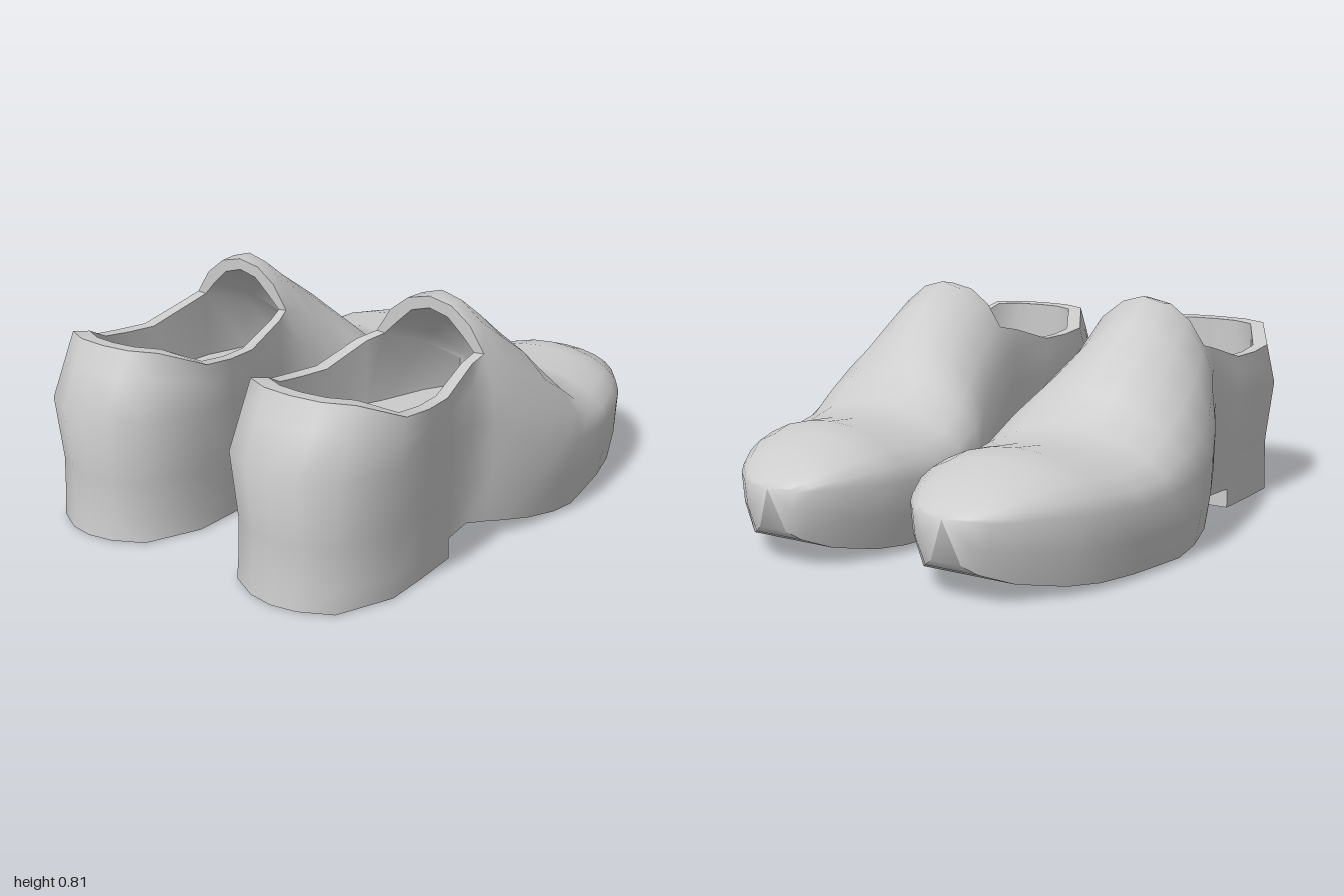
import * as THREE from 'three';
import { toCreasedNormals } from 'three/addons/utils/BufferGeometryUtils.js';

// Forefoot stations from toe to tongue:
// z, inner x, outer x, sole y, widest y, ridge y, sole edge ratio, shoulder slimness
const STATIONS = [
  [-0.98, 0.245, 0.425, 0.13, 0.262, 0.284, 0.6, 1],
  [-0.95, 0.195, 0.475, 0.1, 0.265, 0.305, 0.68, 1],
  [-0.87, 0.13, 0.56, 0.062, 0.265, 0.355, 0.78, 1],
  [-0.74, 0.065, 0.65, 0.035, 0.26, 0.4, 0.88, 1.05],
  [-0.63, 0.04, 0.7, 0.024, 0.25, 0.415, 0.92, 1.1],
  [-0.48, 0.025, 0.74, 0.015, 0.24, 0.395, 0.92, 1.1],
  [-0.33, 0.025, 0.765, 0.008, 0.245, 0.425, 0.92, 1.15],
  [-0.22, 0.028, 0.78, 0.002, 0.26, 0.53, 0.92, 1.25],
  [-0.1, 0.065, 0.78, 0.015, 0.265, 0.64, 0.92, 1.25],
  [0.03, 0.115, 0.755, 0.033, 0.3, 0.735, 0.92, 1.25],
  [0.14, 0.14, 0.715, 0.052, 0.37, 0.81, 0.92, 1.1],
  [0.2, 0.155, 0.685, 0.062, 0.42, 0.8, 0.92, 0.95],
];
// Heel columns from tongue to back: half width, z, rim half width, rim y, rim z
const COLUMNS = [
  [0.25, 0.28, 0.232, 0.627, 0.27],
  [0.272, 0.43, 0.262, 0.57, 0.45],
  [0.287, 0.58, 0.278, 0.572, 0.57],
  [0.295, 0.74, 0.28, 0.582, 0.69],
  [0.215, 0.93, 0.205, 0.643, 0.835],
  [0.1, 0.985, 0.11, 0.645, 0.88],
  [0, 1, 0, 0.645, 0.89],
];
const HEEL_X = 0.405, FLOOR_Y = 0.4, RIM = 4;
const V = (x, y, z) => new THREE.Vector3(x, y, z);

// One half of a station: sole edge, low side, then a quarter oval to the ridge
function halfSection([z, xin, xout, y0, yw, yTop, edge, slim], side) {
  const c = (xin + xout) / 2, w = side * (xout - xin) / 2;
  const pts = [V(c + w * edge, y0, z), V(c + w * (0.8 + edge * 0.2), y0 + (yw - y0) * 0.5, z)];
  for (let k = 0; k <= 5; k++) {
    const a = k * Math.PI / 10;
    const across = k === 5 ? 0 : Math.cos(a) ** slim;
    pts.push(V(c + w * across, yw + (yTop - yw) * Math.sin(a), z));
  }
  return pts;
}

function fullSection(s) {
  return [...halfSection(s, -1), ...halfSection(s, 1).reverse().slice(1)];
}

// Heel wall column from the top of the heel block to the rim
function heelColumn([w, z, rw, ry, rz], side) {
  const rim = V(HEEL_X + side * rw, ry, rz), wide = V(HEEL_X + side * w, 0.43, z);
  const low = z < 0.5 ? Math.min(z, 0.41) : z;
  return [
    V(HEEL_X + side * w * 0.92, 0.075, low - 0.008 * (z > 0.5)),
    V(HEEL_X + side * w * 0.925, 0.21, low - 0.015 * (z > 0.5)),
    wide, wide.clone().lerp(rim, 0.6), rim,
  ];
}

// Inner edge of the collar and the insole point below it
const insetRim = p => V(HEEL_X + (p.x - HEEL_X) * 0.83, p.y - 0.003, p.z > 0.5 ? 0.5 + (p.z - 0.5) * 0.87 : p.z);
const floorPoint = p => V(p.x, FLOOR_Y, p.z);

// Skin rows of points with quads, dropping collapsed triangles
function skin(out, rows) {
  const tri = (a, b, c) => {
    if (a.distanceTo(b) > 1e-6 && b.distanceTo(c) > 1e-6 && c.distanceTo(a) > 1e-6) out.push(a, b, c);
  };
  for (let i = 0; i < rows.length - 1; i++) {
    for (let j = 0; j < rows[i].length - 1; j++) {
      const p = rows[i][j], q = rows[i + 1][j], r = rows[i + 1][j + 1], t = rows[i][j + 1];
      tri(p, q, r);
      tri(p, r, t);
    }
  }
}

function part(name, triangles, mirror, crease) {
  const pos = [];
  for (let i = 0; i < triangles.length; i += 3) {
    const [a, b, c] = triangles.slice(i, i + 3);
    for (const p of mirror < 0 ? [a, c, b] : [a, b, c]) pos.push(p.x * mirror, p.y, p.z);
  }
  const geo = new THREE.BufferGeometry();
  geo.setAttribute('position', new THREE.Float32BufferAttribute(pos, 3));
  const mesh = new THREE.Mesh(
    toCreasedNormals(geo, crease),
    new THREE.MeshStandardMaterial({ color: 0xcccccc, side: THREE.DoubleSide }));
  mesh.name = name;
  return mesh;
}

function createShoe(name, mirror) {
  const shoe = new THREE.Group();
  shoe.name = name;
  const sections = STATIONS.map(fullSection);
  const last = sections[sections.length - 1], n = last.length;
  const inner = [last.slice(0, RIM + 1), ...COLUMNS.map(c => heelColumn(c, -1))];
  const outer = [last.slice(n - RIM - 1).reverse(), ...COLUMNS.map(c => heelColumn(c, 1))];
  const around = [...inner, ...outer.slice(0, -1).reverse()];
  const down = p => V(p.x, 0.004, p.z + 0.008 * (p.z > 0.5));

  // Upper: forefoot closed at the toe, wall around the back, and heel sides
  const upper = [];
  const toe = V(0.335, 0.27, -1);
  skin(upper, [sections[0].map(() => toe), ...sections]);
  skin(upper, around);
  skin(upper, around.slice(2, -2).map(c => [down(c[0]), c[0]]));
  shoe.add(part('upper', upper, mirror, 1.1));

  // Sole from the toe to the front of the heel
  const sole = [];
  skin(sole, [[toe, toe], ...sections.map(s => [s[n - 1], s[0]]),
    ...[1, 2].map(i => [outer[i][0], inner[i][0]])]);
  shoe.add(part('sole', sole, mirror, 0.8));

  // Heel underside and front face
  const heel = [];
  skin(heel, inner.slice(2).map((c, i) => [down(outer[i + 2][0]), down(c[0])]));
  skin(heel, [[down(inner[2][0]), down(outer[2][0])], [inner[2][0], outer[2][0]]]);
  shoe.add(part('heel', heel, mirror, 0.6));

  // Collar edge: flat lip round the heel and the upright arch of the tongue
  const collar = [];
  const arch = last.slice(RIM, n - RIM);
  const innerArch = arch.map((p, i) => i === 0 || i === arch.length - 1
    ? insetRim(p) : V(0.42 + (p.x - 0.42) * 0.83, p.y - 0.04, p.z));
  skin(collar, around.map(c => [c[RIM], insetRim(c[RIM])]));
  skin(collar, [arch, innerArch]);
  shoe.add(part('collar', collar, mirror, 0.5));

  // Lining: heel wall and the hollow running forward under the tongue
  const lining = [];
  const rims = around.map(c => insetRim(c[RIM]));
  skin(lining, rims.map(p => [p, floorPoint(p)]));
  const mouth = [floorPoint(innerArch[0]), ...innerArch, floorPoint(innerArch[innerArch.length - 1])];
  mouth.push(mouth[0]);
  const tunnel = (z, s) => mouth.map(p => V(0.42 + (p.x - 0.42) * s, FLOOR_Y + (p.y - FLOOR_Y) * s, z));
  skin(lining, [mouth, tunnel(0.03, 0.75), tunnel(-0.1, 0.4), tunnel(-0.1, 0)]);
  shoe.add(part('lining', lining, mirror, 0.9));

  // Insole
  const insole = [];
  skin(insole, inner.map((c, i) => [floorPoint(insetRim(c[RIM])), floorPoint(insetRim(outer[i][RIM]))]));
  shoe.add(part('insole', insole, mirror, 0.5));
  return shoe;
}

export function createModel() {
  const model = new THREE.Group();
  model.name = 'pairOfShoes';
  model.add(createShoe('leftShoe', 1), createShoe('rightShoe', -1));
  return model;
}
